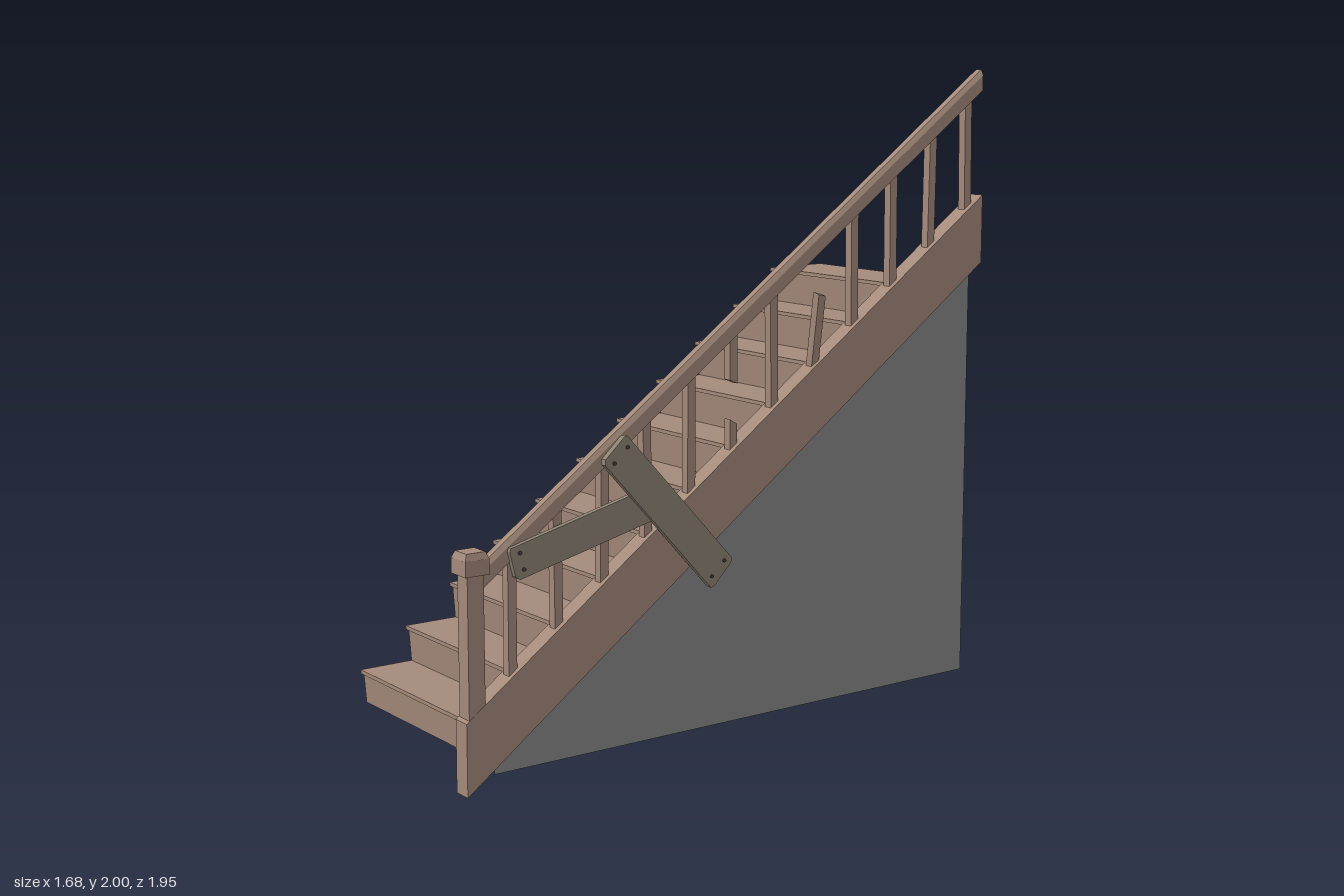
import * as THREE from 'three';

const LENGTH = 1.928, SLOPE = 0.721;
const wood = new THREE.MeshStandardMaterial({ color: 0xa48a7b, flatShading: true });
const treadWood = new THREE.MeshStandardMaterial({ color: 0xa48a7b, flatShading: true, side: THREE.DoubleSide });
const oldWood = new THREE.MeshStandardMaterial({ color: 0x8f8474, flatShading: true });
const iron = new THREE.MeshStandardMaterial({ color: 0x4a4542 });
const plaster = new THREE.MeshStandardMaterial({ color: 0x888888, side: THREE.DoubleSide });

const shapeOf = (pts) => new THREE.Shape(pts.map(([x, y]) => new THREE.Vector2(x, y)));

function slab(pts, depth) {
  const g = new THREE.ExtrudeGeometry(shapeOf(pts), { depth, bevelEnabled: false });
  return g.translate(0, 0, -depth / 2);
}

function add(parent, name, geometry, material, x = 0, y = 0, z = 0) {
  const mesh = new THREE.Mesh(geometry, material);
  mesh.name = name;
  mesh.position.set(x, y, z);
  parent.add(mesh);
  return mesh;
}

// Square stick standing on its base; the ends can be cut at a slant
function stick(height, width, topCut = 0, bottomCut = 0) {
  const g = new THREE.BoxGeometry(width, height, width).translate(0, height / 2, 0);
  const p = g.attributes.position;
  for (let i = 0; i < p.count; i++) {
    const cut = p.getY(i) > height / 2 ? topCut : bottomCut;
    p.setY(i, p.getY(i) + Math.sign(p.getX(i)) * cut);
  }
  g.computeVertexNormals();
  return g;
}

// Thin folded sheet: a side profile stretched across the stair width
function foldedSheet(profile, zNear, zFar) {
  const v = [];
  for (let i = 0; i + 1 < profile.length; i++) {
    const [x0, y0] = profile[i], [x1, y1] = profile[i + 1];
    v.push(x0, y0, zNear, x1, y1, zNear, x0, y0, zFar);
    v.push(x1, y1, zNear, x1, y1, zFar, x0, y0, zFar);
  }
  const g = new THREE.BufferGeometry();
  g.setAttribute('position', new THREE.Float32BufferAttribute(v, 3));
  g.computeVertexNormals();
  return g;
}

// Worn board with clipped corners and a nail near each corner
function board(name, length, width, thick) {
  const group = new THREE.Group();
  group.name = name;
  const a = length / 2, b = width / 2, c = 0.012;
  const outline = [[-a, -b + c], [-a + c, -b], [a - c * 0.5, -b], [a, -b + c],
    [a - c * 0.4, b - c], [a - c, b], [-a + c * 0.5, b - c * 0.2], [-a, b - c]];
  add(group, 'board', slab(outline, thick), oldWood);
  for (const sx of [-1, 1]) for (const sy of [-1, 1]) {
    const head = new THREE.CylinderGeometry(0.006, 0.006, 0.006, 8).rotateX(Math.PI / 2);
    add(group, 'nail', head, iron, sx * (a - 0.03), sy * (b - 0.025), thick / 2 + 0.001);
  }
  return group;
}

export function createModel() {
  const model = new THREE.Group();
  model.name = 'staircase';
  // Local axes: x runs up the flight, z faces away from the steps
  const flight = new THREE.Group();
  flight.name = 'flight';
  flight.position.set(-0.31, 0, 0.947);
  flight.rotation.y = Math.atan2(1.565, 1.126);
  model.add(flight);

  // Sloping side beam
  add(flight, 'stringer', slab([[0, 0], [LENGTH, 1.39], [LENGTH, 1.605], [0, 0.215]], 0.06), wood);

  // Wall panel below the beam
  const panel = new THREE.ShapeGeometry(shapeOf(
    [[0.12, 0.03], [LENGTH - 0.002, 0.03], [LENGTH - 0.002, 1.42], [0.12, 0.12]]));
  add(flight, 'wallPanel', panel, plaster, 0, 0, -0.024);

  // Treads with small nosings and slightly raked risers
  const profile = [];
  for (let i = 10; i >= 0; i--) {
    const x = 0.055 + i * 0.159, y = 0.19 + i * 0.114;
    if (i === 10) profile.push([1.867, y]);
    profile.push([x, y], [x, y - 0.012], [x + 0.01, y - 0.012], [x + 0.018, y - (i ? 0.114 : 0.106)]);
  }
  add(flight, 'steps', foldedSheet(profile.reverse(), -0.029, -0.697), treadWood);

  // Handrail: chamfered section, sheared to the slope so its ends stay upright
  const section = shapeOf([[-0.021, 0], [0.021, 0], [0.021, 0.047], [0.012, 0.065], [-0.012, 0.065], [-0.021, 0.047]]);
  const rail = new THREE.ExtrudeGeometry(section, { depth: LENGTH - 0.04, bevelEnabled: false });
  rail.rotateY(Math.PI / 2).translate(0.04, 0.545, 0);
  const p = rail.attributes.position;
  for (let i = 0; i < p.count; i++) p.setY(i, p.getY(i) + SLOPE * p.getX(i));
  rail.computeVertexNormals();
  add(flight, 'handrail', rail, wood);

  // Newel post and bevelled cap
  add(flight, 'newelPost', stick(0.46, 0.053), wood, 0.036, 0.19, 0.002);
  add(flight, 'newelCap', new THREE.BoxGeometry(0.078, 0.045, 0.078), wood, 0.036, 0.657, 0.002);
  const bevel = new THREE.CylinderGeometry(0.043, 0.055, 0.02, 4).rotateY(Math.PI / 4);
  add(flight, 'newelCapTop', bevel, wood, 0.036, 0.689, 0.002);

  // Balusters: one snapped in the middle, one snapped off and leaning out
  for (let i = 0; i < 12; i++) {
    const x = 0.163 + i * 0.156;
    const foot = 0.215 + SLOPE * x, head = 0.56 + SLOPE * x;
    if (i === 5) {
      add(flight, 'brokenBalusterFoot', stick(0.97 - foot + 0.02, 0.027, -0.008), wood, x, foot - 0.02, 0);
      add(flight, 'brokenBalusterHead', stick(head - 1.09, 0.027, 0, -0.006), wood, x, 1.09, 0);
    } else if (i === 7) {
      const stub = add(flight, 'leaningBaluster', stick(0.235, 0.027, -0.004), wood, x, foot - 0.015, 0);
      stub.rotation.set(0.2, 0, 0.05);
    } else {
      const whole = add(flight, 'baluster', stick(head - foot + 0.02, 0.028), wood, x, foot - 0.02, 0);
      whole.rotation.z = 0.015 * Math.sin(i * 2.4);
    }
  }

  // Two repair boards nailed across the outside
  const low = board('lowerRepairBoard', 0.54, 0.1, 0.018);
  low.position.set(0.415, 0.715, 0.034);
  low.rotation.set(0, -0.03, 0.25);
  flight.add(low);
  const cross = board('crossRepairBoard', 0.575, 0.112, 0.02);
  cross.position.set(0.675, 0.735, 0.053);
  cross.rotation.z = -0.83;
  flight.add(cross);

  return model;
}
